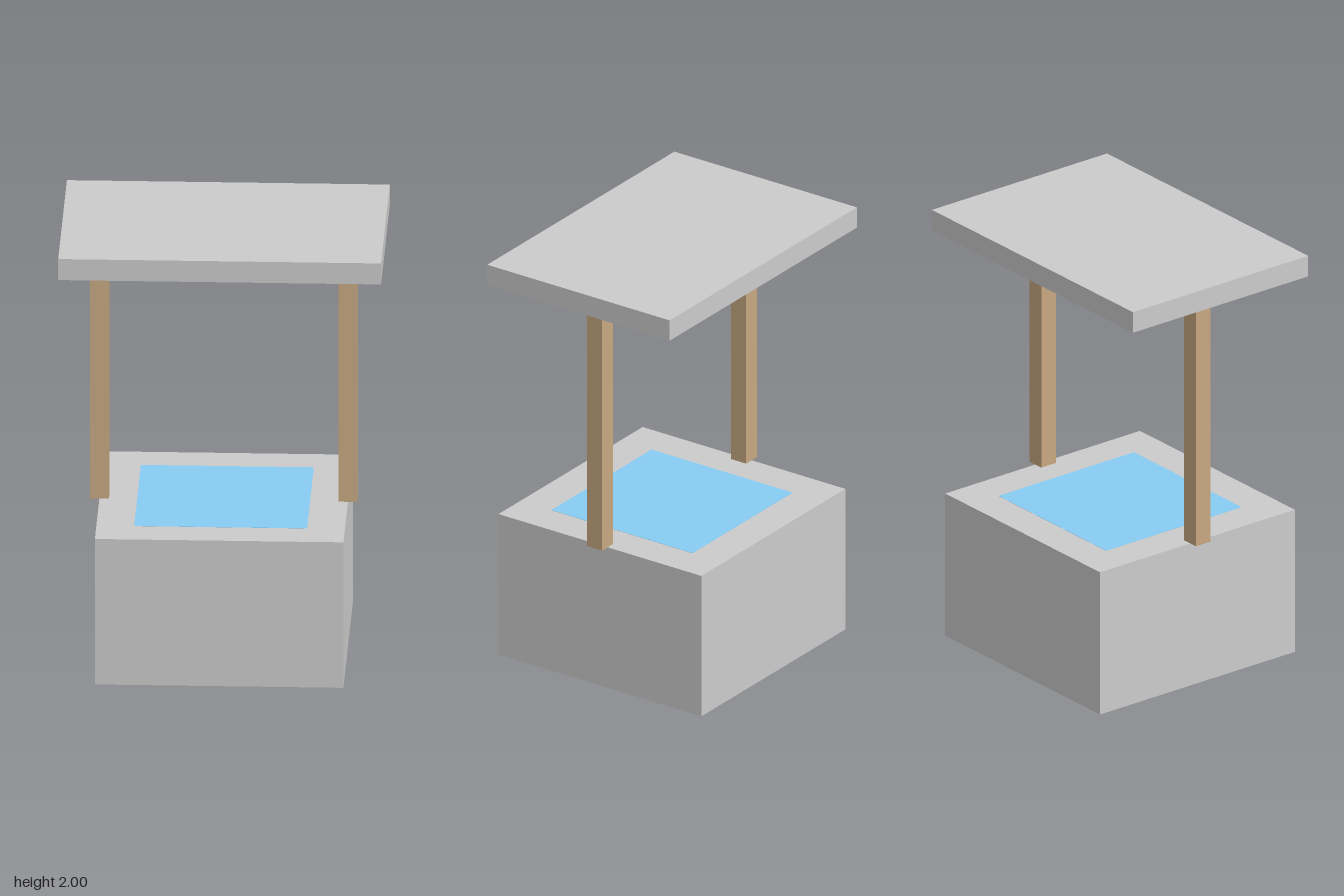
import * as THREE from 'three';

export function createModel() {
  const well = new THREE.Group();
  well.name = 'well';

  const stone = new THREE.MeshStandardMaterial({ color: 0xcccccc });
  const wood = new THREE.MeshStandardMaterial({ color: 0xc8a882 });
  const blue = new THREE.MeshStandardMaterial({ color: 0x88ccf4 });

  // Box standing on height y0 and reaching up to y1
  function addBox(name, material, width, depth, y0, y1, x = 0) {
    const mesh = new THREE.Mesh(new THREE.BoxGeometry(width, y1 - y0, depth), material);
    mesh.position.set(x, (y0 + y1) / 2, 0);
    mesh.name = name;
    well.add(mesh);
  }

  const baseTop = 0.692;
  const roofBottom = 1.9;

  // Solid stone base with a square of water set into its top
  addBox('base', stone, 1.107, 1.107, 0, baseTop);
  addBox('water', blue, 0.77, 0.77, baseTop - 0.05, baseTop + 0.001);

  // Posts centred on the side edges of the base
  addBox('leftPost', wood, 0.085, 0.083, baseTop, roofBottom, 0.553);
  addBox('rightPost', wood, 0.085, 0.083, baseTop, roofBottom, -0.553);

  // Flat roof slab
  addBox('roof', stone, 1.438, 0.996, roofBottom, 2);

  return well;
}
